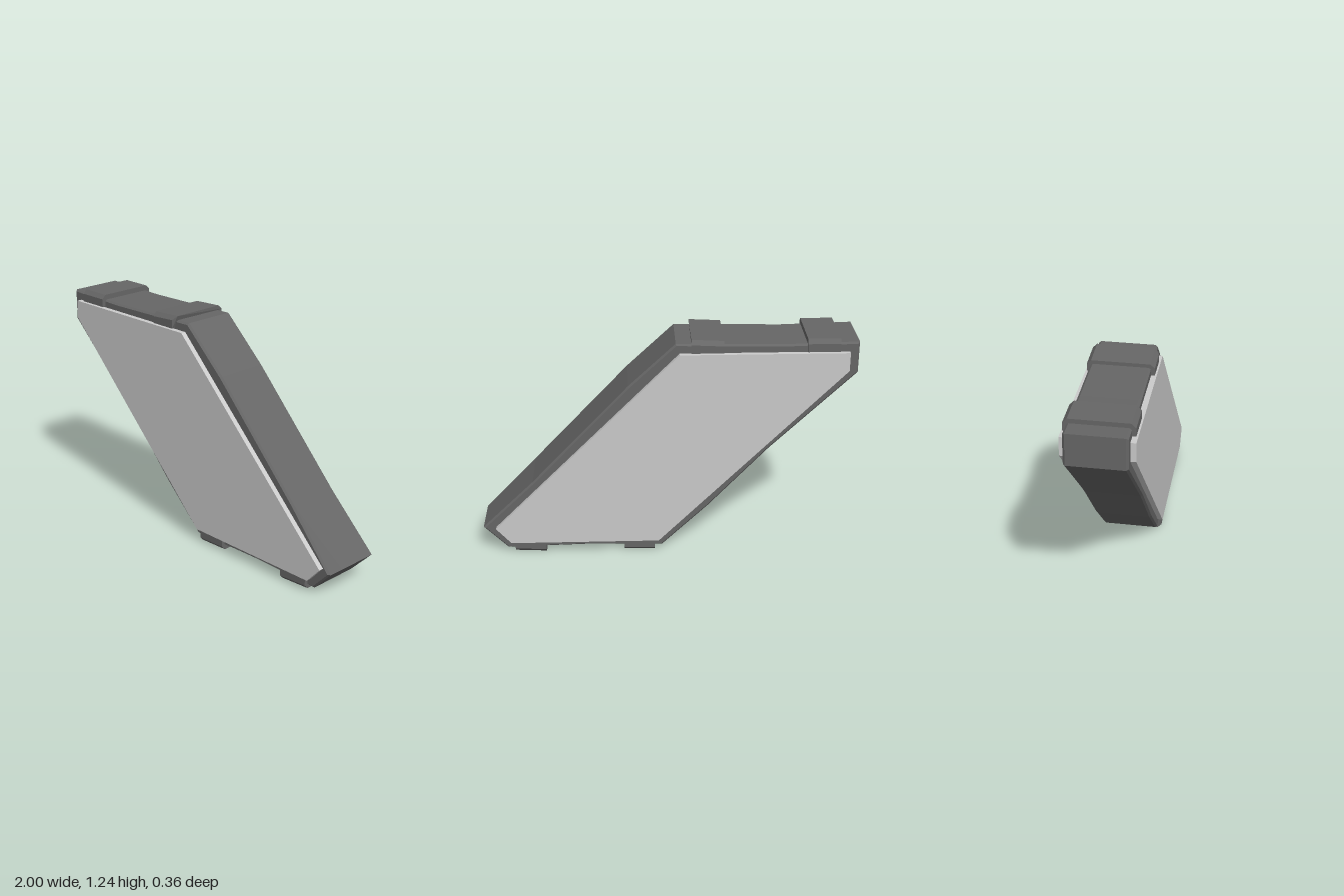
import * as THREE from 'three';

const dark = new THREE.MeshStandardMaterial({ color: 0x666666, flatShading: true });
const light = new THREE.MeshStandardMaterial({ color: 0xcccccc, flatShading: true });

// Counter-clockwise outlines, seen from the front
const frameOutline = [
  [-1, 1.22], [-1, 1.05], [-0.55, 0.615], [-0.23, 0.27], [0.02, 0.028], [0.45, 0.035],
  [0.87, 0.025], [1, 0.157], [0.72, 0.43], [0.2, 0.985], [-0.05, 1.22], [-0.62, 1.21],
];
const panelOutline = [[-0.95, 1.17], [-0.95, 1.07], [0.04, 0.07], [0.85, 0.07], [0.93, 0.16], [-0.07, 1.17]];
const WORN_CORNER = 7;

// Mitred inward offset of an outline
function inset(points, d) {
  const n = points.length;
  return points.map((p, i) => {
    const normal = (a, b) => new THREE.Vector2(a[1] - b[1], b[0] - a[0]).normalize();
    const n0 = normal(points[(i + n - 1) % n], p);
    const n1 = normal(p, points[(i + 1) % n]);
    const k = d / (1 + n0.dot(n1));
    return [p[0] + (n0.x + n1.x) * k, p[1] + (n0.y + n1.y) * k];
  });
}

// Skin a stack of outlines running from back to front, with both ends capped
function loft(layers) {
  const n = layers[0].points.length;
  const positions = layers.flatMap(({ points, z }) => points.flatMap(([x, y]) => [x, y, z]));
  const index = [];
  for (let l = 0; l < layers.length - 1; l++) {
    for (let i = 0; i < n; i++) {
      const a = l * n + i, b = l * n + (i + 1) % n;
      index.push(a, b, b + n, a, b + n, a + n);
    }
  }
  const cap = (points) => THREE.ShapeUtils.triangulateShape(points.map((p) => new THREE.Vector2(...p)), []);
  const last = (layers.length - 1) * n;
  for (const [a, b, c] of cap(layers[0].points)) index.push(c, b, a);
  for (const [a, b, c] of cap(layers[layers.length - 1].points)) index.push(last + a, last + b, last + c);
  const geometry = new THREE.BufferGeometry();
  geometry.setAttribute('position', new THREE.Float32BufferAttribute(positions, 3));
  geometry.setIndex(index);
  const flat = geometry.toNonIndexed();
  flat.computeVertexNormals();
  return flat;
}

// Bracket wrapped around the frame edge; dir is +1 on top, -1 underneath
function bracketGeometry({ x, outer, inner, dir, slope = 0, chip = 0 }) {
  const w = 0.172, c = 0.022, length = 0.17;
  const shape = new THREE.Shape([
    [-w, inner], [w, inner], [w, outer - dir * c], [w - c, outer], [-w + c, outer], [-w, outer - dir * c],
  ].map((p) => new THREE.Vector2(...p)));
  const geometry = new THREE.ExtrudeGeometry(shape, { depth: length, bevelEnabled: false });
  geometry.translate(0, 0, -length / 2).rotateY(Math.PI / 2);
  const pos = geometry.attributes.position;
  for (let i = 0; i < pos.count; i++) {
    const px = pos.getX(i), py = pos.getY(i);
    // Tilt the outer face and chip the front corner
    if (Math.abs(py - inner) > 0.01) pos.setY(i, py + slope * px);
    if (px > 0 && pos.getZ(i) > w - 0.001) pos.setX(i, px - chip);
  }
  geometry.translate(x, 0, 0);
  geometry.computeVertexNormals();
  return geometry;
}

export function createModel() {
  const group = new THREE.Group();
  const add = (name, geometry, material) => {
    const mesh = new THREE.Mesh(geometry, material);
    mesh.name = name;
    group.add(mesh);
  };

  // Frame with bevelled rims and one corner worn off at the front
  const worn = frameOutline.map((p, i) => (i === WORN_CORNER ? [0.972, 0.135] : p));
  add('frame', loft([
    { points: inset(frameOutline, 0.009), z: -0.154 },
    { points: frameOutline, z: -0.143 },
    { points: frameOutline, z: 0.085 },
    { points: worn, z: 0.141 },
    { points: inset(worn, 0.009), z: 0.152 },
  ]), dark);

  // Face panels standing proud of the frame
  for (const [name, z0, z1] of [['frontPanel', 0.13, 0.18], ['backPanel', -0.18, -0.13]]) {
    add(name, loft([{ points: panelOutline, z: z0 }, { points: panelOutline, z: z1 }]), light);
  }

  // Brackets
  const brackets = {
    topBracketRight: { x: -0.815, outer: 1.241, inner: 1.175, dir: 1 },
    topBracketLeft: { x: -0.215, outer: 1.239, inner: 1.175, dir: 1, slope: 0.05, chip: 0.02 },
    bottomBracketRight: { x: 0.145, outer: 0.004, inner: 0.07, dir: -1, slope: 0.03 },
    bottomBracketLeft: { x: 0.745, outer: 0.005, inner: 0.07, dir: -1, slope: 0.05 },
  };
  for (const [name, options] of Object.entries(brackets)) add(name, bracketGeometry(options), dark);

  return group;
}
